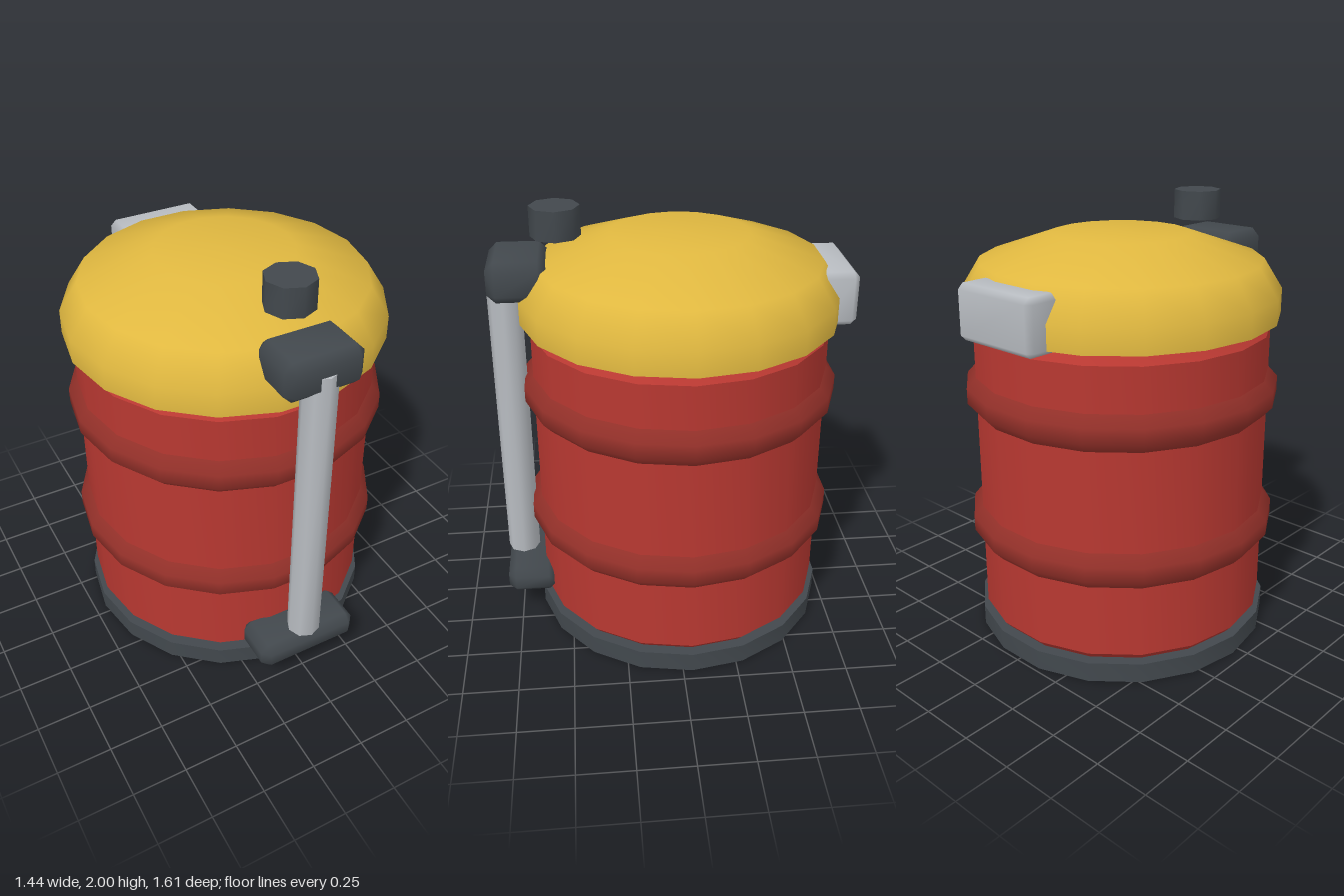
import * as THREE from 'three';
import { mergeVertices, toCreasedNormals } from 'three/addons/utils/BufferGeometryUtils.js';
import { ConvexGeometry } from 'three/addons/geometries/ConvexGeometry.js';

const SIDES = 18;
const AXIS_Z = -0.043; // the drum sits slightly behind the origin
const rad = THREE.MathUtils.degToRad;

function makeMaterial(name, color) {
  const m = new THREE.MeshStandardMaterial({ color });
  m.name = name;
  return m;
}

// Turned part from [radius, y] pairs listed bottom to top
function turned(profile, creaseDegrees) {
  const points = profile.map(([r, y]) => new THREE.Vector2(r, y));
  const geometry = new THREE.LatheGeometry(points, SIDES, rad(10));
  return toCreasedNormals(geometry, rad(creaseDegrees)).translate(0, 0, AXIS_Z);
}

// Box with every edge cut at an angle and softly shaded
function chamferBox(w, h, d, c) {
  const half = [w / 2, h / 2, d / 2];
  const points = [];
  for (const sx of [-1, 1]) for (const sy of [-1, 1]) for (const sz of [-1, 1]) {
    for (let axis = 0; axis < 3; axis++) {
      const p = half.map((v, i) => (i === axis ? v : v - c));
      points.push(new THREE.Vector3(p[0] * sx, p[1] * sy, p[2] * sz));
    }
  }
  const geometry = new ConvexGeometry(points);
  geometry.deleteAttribute('normal');
  const merged = mergeVertices(geometry);
  merged.computeVertexNormals();
  return merged;
}

export function createModel() {
  const group = new THREE.Group();
  const red = makeMaterial('drumRed', 0xb83831);
  const darkRed = makeMaterial('bandRed', 0x933029);
  const yellow = makeMaterial('lidYellow', 0xe0b840);
  const dark = makeMaterial('darkGrey', 0x42484d);
  const grey = makeMaterial('lightGrey', 0xb8bcc1);

  function add(name, geometry, material, x = 0, y = 0, z = 0) {
    const mesh = new THREE.Mesh(geometry, material);
    mesh.name = name;
    mesh.position.set(x, y, z);
    group.add(mesh);
  }

  // Drum: base ring, body and two raised bands
  add('base', turned([[0, 0], [0.697, 0], [0.697, 0.092], [0, 0.092]], 30), dark);
  add('drumBody', turned([
    [0, 0.092], [0.645, 0.092], [0.677, 0.128], [0.677, 1.455], [0.645, 1.488], [0, 1.488],
  ], 30), red);
  for (const [name, y] of [['lowerBand', 0.545], ['upperBand', 1.172]]) {
    add(name, turned([
      [0.67, y - 0.09], [0.72, y - 0.035], [0.72, y + 0.035], [0.67, y + 0.09],
    ], 50), darkRed);
  }

  // Domed lid, hovering just above the body
  add('lid', turned([
    [0, 1.51], [0.72, 1.51], [0.72, 1.62], [0.635, 1.755], [0.31, 1.867], [0, 1.867],
  ], 50), yellow);

  // Front pipe held between two brackets, with the knob above
  add('pipe', toCreasedNormals(new THREE.CylinderGeometry(0.076, 0.076, 1.445, 8), rad(50)),
    grey, 0, 0.9925, 0.733);
  add('lowerBracket', chamferBox(0.49, 0.13, 0.23, 0.035), dark, 0, 0.205, 0.69);
  add('upperBracket', chamferBox(0.356, 0.18, 0.26, 0.037), dark, 0, 1.71, 0.665);
  add('knob', toCreasedNormals(new THREE.CylinderGeometry(0.11, 0.11, 0.133, 8), rad(50)),
    dark, 0, 1.9335, 0.493);

  // Hinge block at the back of the lid
  add('hinge', chamferBox(0.445, 0.243, 0.17, 0.025), grey, 0, 1.61, -0.72);

  return group;
}
